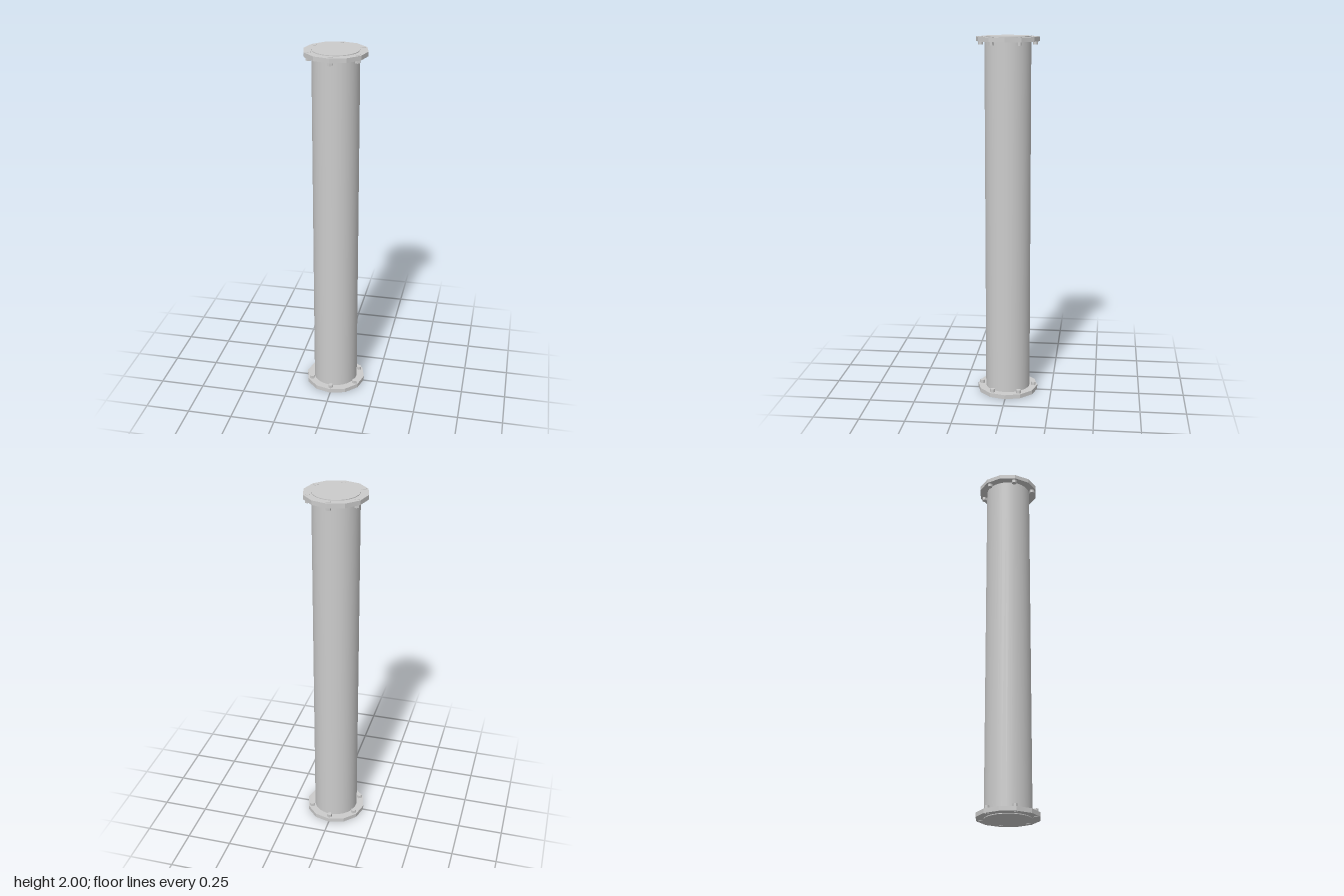
import * as THREE from 'three';

export function createModel() {
  const model = new THREE.Group();
  const smooth = new THREE.MeshStandardMaterial({ color: 0xcccccc });
  const faceted = new THREE.MeshStandardMaterial({ color: 0xcccccc, flatShading: true });

  const add = (parent, name, geometry, material, x, y, z) => {
    const mesh = new THREE.Mesh(geometry, material);
    mesh.name = name;
    mesh.position.set(x, y, z);
    parent.add(mesh);
  };

  // Closed pipe running the full height
  add(model, 'pipe', new THREE.CylinderGeometry(0.125, 0.125, 2, 32), smooth, 0, 1, 0);

  // Twelve-sided flange with six bolts, mirrored at both ends
  const flangeGeometry = new THREE.CylinderGeometry(0.17, 0.17, 0.024, 12);
  const boltGeometry = new THREE.CylinderGeometry(0.014, 0.014, 0.044, 6);
  for (const [name, end, inward] of [['bottom', 0, 1], ['top', 2, -1]]) {
    const flange = new THREE.Group();
    flange.name = name + 'Flange';
    add(flange, 'flangePlate', flangeGeometry, faceted, 0, end + inward * 0.016, 0);
    for (let i = 0; i < 6; i++) {
      const a = (i * Math.PI) / 3;
      add(flange, 'bolt', boltGeometry, faceted,
        0.147 * Math.sin(a), end + inward * 0.024, 0.147 * Math.cos(a));
    }
    model.add(flange);
  }
  return model;
}
